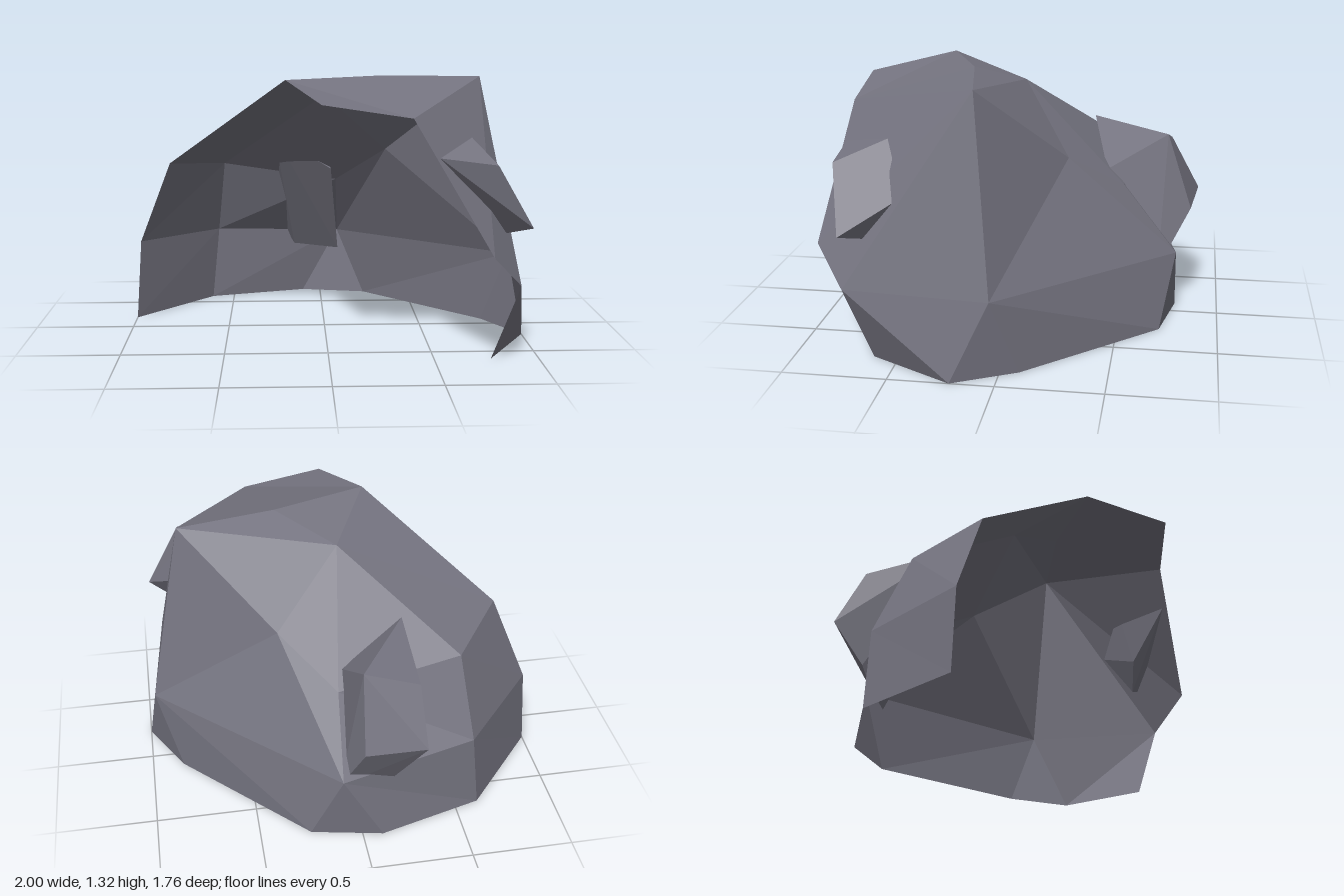
import * as THREE from 'three';
import { ConvexGeometry } from 'three/addons/geometries/ConvexGeometry.js';

// Corners of the curved stone shell, from the ground ring up to the overhang
const corners = {
  // ground ring, from the left end of the front opening round the back
  p0: [-1, 0, -0.18], p1: [-0.62, 0, -0.63], p2: [-0.1, 0, -0.78], p3: [0.25, 0, -0.71],
  p4: [0.84, 0, -0.09], p5: [1, 0, 0.21], p6: [0.77, 0, 0.62],
  // middle ring
  q0: [-0.97, 0.42, -0.17], q1: [-0.58, 0.4, -0.62], q2: [0.1, 0.36, -0.78],
  q3: [0.955, 0.385, 0.03], q4: [0.885, 0.38, 0.73],
  // shoulder
  k: [-0.8, 0.85, -0.08], i: [-0.535, 0.8, -0.45], j: [0.08, 0.7, -0.51],
  g: [0.335, 0.9, -0.255], e: [0.73, 0.545, 0.885],
  // roof and overhang
  h: [0, 1.21, 0], a: [-0.2, 1.31, 0.4], b: [0.77, 1.31, 0.125], f: [0.28, 1.32, 0.21],
  c: [-0.04, 1.225, 0.805], d: [0.37, 1.162, 0.785],
};

// Faces, counter-clockwise seen from outside
const wallFaces = [
  'p0 q0 q1 p1', 'p1 q1 q2 p2', 'p2 q2 p3', 'p3 q2 q3 p4', 'p4 q3 p5', 'p5 q3 q4 p6',
  'q0 k i q1', 'q1 i j q2', 'q2 j g q3', 'g b q3', 'b e q4 q3',
];
const roofFaces = [
  'k h i', 'a h k', 'i h j', 'j h g', 'g h b', 'h f b', 'a f h',
  'a c d f', 'f d b', 'b d e',
];

// Fans each named polygon into flat triangles
function shell(faces) {
  const positions = [];
  for (const face of faces) {
    const points = face.split(' ').map((name) => corners[name]);
    for (let n = 1; n < points.length - 1; n++) {
      positions.push(...points[0], ...points[n], ...points[n + 1]);
    }
  }
  const geometry = new THREE.BufferGeometry();
  geometry.setAttribute('position', new THREE.Float32BufferAttribute(positions, 3));
  geometry.computeVertexNormals();
  return geometry;
}

const boulder = (points) => new ConvexGeometry(points.map((p) => new THREE.Vector3(...p)));

export function createModel() {
  const group = new THREE.Group();
  group.name = 'rockShelter';
  const stone = new THREE.MeshStandardMaterial({
    color: 0x757480, flatShading: true, side: THREE.DoubleSide,
  });
  stone.name = 'greyStone';

  const add = (name, geometry) => {
    const mesh = new THREE.Mesh(geometry, stone);
    mesh.name = name;
    group.add(mesh);
  };

  add('curvedWall', shell(wallFaces));
  add('overhangingRoof', shell(roofFaces));

  // Boulder set into the back wall
  add('backBoulder', boulder([
    [-0.26, 0.975, -0.33], [0, 0.95, -0.72], [-0.265, 0.87, -0.735],
    [-0.28, 0.6, -0.88], [0.01, 0.57, -0.845], [-0.21, 0.39, -0.74],
    [0.05, 0.77, -0.42], [0.05, 0.445, -0.62], [0.1, 0.27, -0.69], [-0.15, 0.295, -0.71],
  ]));

  // Boulder set into the front edge of the left wall
  add('frontBoulder', boulder([
    [0.49, 0.985, 0.795], [0.67, 1.05, 0.545], [0.755, 0.95, 0.785],
    [0.79, 0.6, 0.61], [0.935, 0.65, 0.725], [0.8, 0.81, 0.455], [0.68, 0.74, 0.62],
  ]));

  return group;
}
